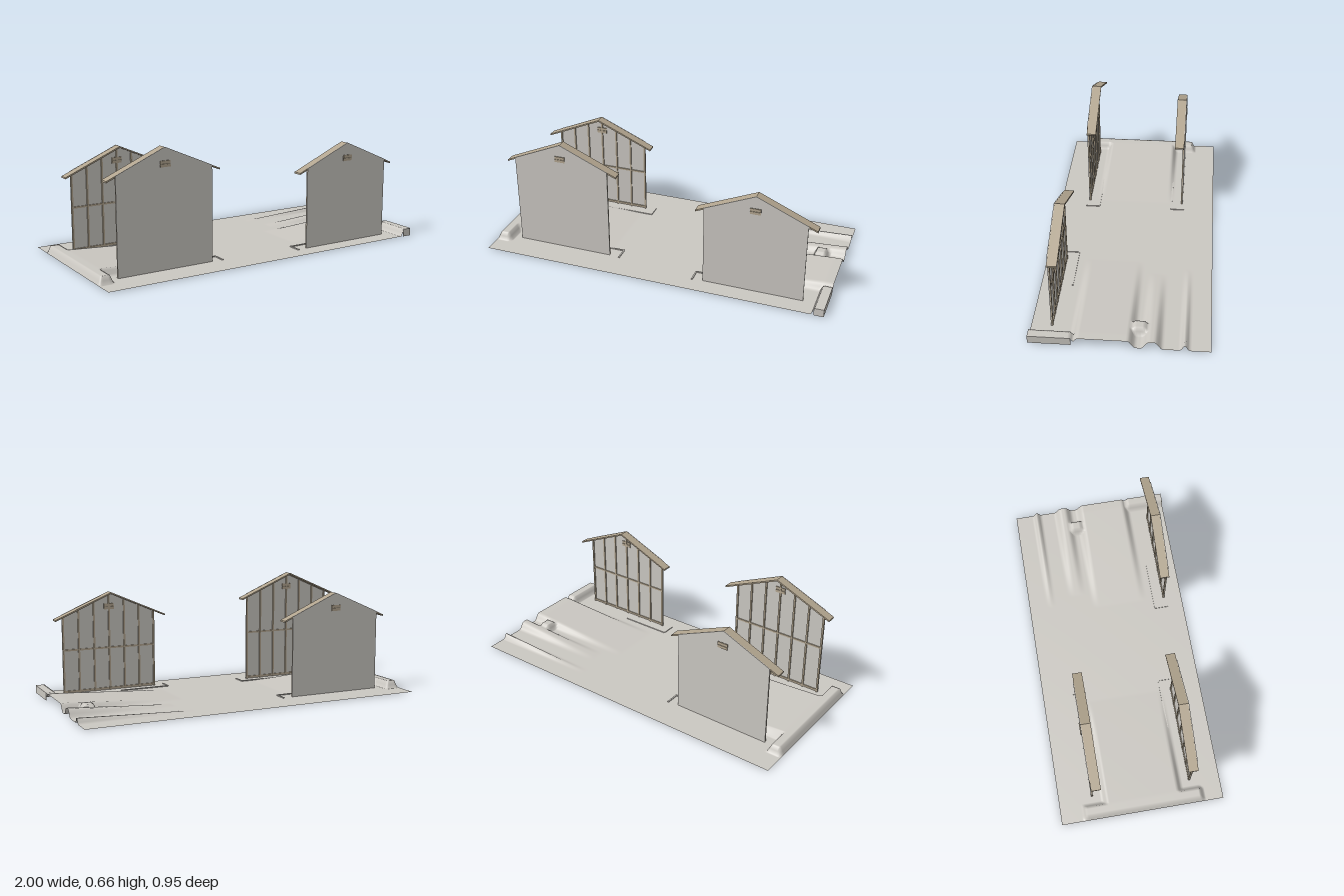
import * as THREE from 'three';

const concrete = new THREE.MeshStandardMaterial({ name: 'pale concrete', color: 0xcac7c1, side: THREE.DoubleSide });
const timber = new THREE.MeshStandardMaterial({ name: 'tan timber', color: 0xb2a58f });
const dark = new THREE.MeshStandardMaterial({ name: 'dark louvre', color: 0x6f695e });

function add(parent, name, geometry, material, x = 0, y = 0, z = 0) {
  const mesh = new THREE.Mesh(geometry, material);
  mesh.name = name;
  mesh.position.set(x, y, z);
  parent.add(mesh);
  return mesh;
}
const box = (parent, name, mat, w, h, d, x, y, z) =>
  add(parent, name, new THREE.BoxGeometry(w, h, d), mat, x, y, z);

function extrude(points, depth) {
  const shape = new THREE.Shape(points.map(([x, y]) => new THREE.Vector2(x, y)));
  return new THREE.ExtrudeGeometry(shape, { depth, bevelEnabled: false });
}

// Free-standing gable wall: plain outside at local z = 0, framing and eaves on -z
function gableWall(name, eave) {
  const g = new THREE.Group();
  g.name = name;
  const half = 0.285, rise = 0.123, apex = eave + rise;
  const topAt = (x) => apex - Math.abs(x) * rise / half;

  add(g, 'wallPanel', extrude([[-half, 0], [half, 0], [half, eave], [0, apex], [-half, eave]], 0.004),
    concrete, 0, 0, -0.004);

  // Overhanging roof strip
  const tip = 0.335, t = 0.009;
  add(g, 'roofStrip', extrude([
    [-tip, topAt(tip)], [-tip, topAt(tip) - t], [0, apex - t],
    [tip, topAt(tip) - t], [tip, topAt(tip)], [0, apex],
  ], 0.054), timber, 0, -0.001, -0.057);

  // Battens, mid rail and sill
  for (let i = 0; i < 7; i++) {
    const x = -0.279 + i * 0.093, h = topAt(x) - 0.012;
    box(g, 'batten', timber, 0.01, h, 0.007, x, h / 2, -0.0075);
  }
  box(g, 'midRail', timber, 0.57, 0.01, 0.006, 0, eave * 0.55, -0.007);
  box(g, 'sill', timber, 0.57, 0.012, 0.006, 0, 0.012, -0.007);

  // Louvred vent on both faces
  const vy = apex - 0.088;
  box(g, 'ventBack', dark, 0.06, 0.034, 0.008, 0, vy, -0.002);
  for (const z of [0.003, -0.008]) {
    for (const dy of [-0.009, 0.009]) {
      box(g, 'ventSlat', timber, 0.06, 0.0155, 0.004, 0, vy + dy, z);
    }
  }
  return g;
}

// Graded ground: raised terraces with steep sides that fade towards the middle
const ramp = (v, a, b) => Math.min(1, Math.max(0, (v - a) / (b - a)));
const band = (v, a, b, s) => ramp(v, a, a + s) * (1 - ramp(v, b - s, b));

function groundHeight(x, z) {
  const left = ramp(-x, 0.3, 0.93) * band(z, -0.22, 0.24, 0.02) * ramp(x, -1, -0.98);
  const leftArms = band(x, -1, -0.91, 0.02) * band(z, -0.345, 0.365, 0.02);
  const right = ramp(x, 0.3, 0.95) * band(z, -0.08, 0.25, 0.03);
  const rightCorner = ramp(x, 0.93, 0.95) * ramp(z, 0.23, 0.25);
  const ridge1 = ramp(x, 0.35, 1) * band(z, -0.36, -0.32, 0.02) * 0.9;
  const ridge2 = ramp(x, 0.4, 1) * band(z, -0.22, -0.12, 0.03);
  const mound = band(x, 0.82, 0.91, 0.02) * band(z, -0.15, -0.05, 0.02);
  return 0.002 + 0.043 * Math.max(left, leftArms, right, rightCorner, ridge1, ridge2, mound);
}

function ground() {
  const geo = new THREE.PlaneGeometry(2, 0.95, 200, 95).rotateX(-Math.PI / 2);
  const p = geo.attributes.position;
  for (let i = 0; i < p.count; i++) p.setY(i, groundHeight(p.getX(i), p.getZ(i)));
  geo.computeVertexNormals();
  return geo;
}

export function createModel() {
  const model = new THREE.Group();
  model.name = 'gableYard';

  add(model, 'ground', ground(), concrete);

  // Skirt below the raised front corner
  box(model, 'cornerSideSkirt', concrete, 0.002, 0.044, 0.225, 0.999, 0.022, 0.3615);
  box(model, 'cornerFrontSkirt', concrete, 0.055, 0.044, 0.002, 0.9725, 0.022, 0.474);

  const walls = [
    ['frontRightGable', 0.54, -0.58, 0.303, 1],
    ['frontLeftGable', 0.467, 0.58, 0.37, 1],
    ['backRightGable', 0.467, -0.58, -0.285, -1],
  ];
  for (const [name, eave, x, z, facing] of walls) {
    const wall = gableWall(name, eave);
    wall.position.set(x, 0, z);
    if (facing < 0) wall.rotation.y = Math.PI;
    model.add(wall);

    // Low kerb turning past the inner end of the wall
    const endX = x - Math.sign(x) * 0.345;
    box(model, 'kerb', concrete, 0.008, 0.006, 0.08, endX, 0.004, z - facing * 0.03);
    box(model, 'kerb', concrete, 0.3, 0.006, 0.008, endX + Math.sign(x) * 0.15, 0.004, z - facing * 0.07);
  }
  return model;
}
